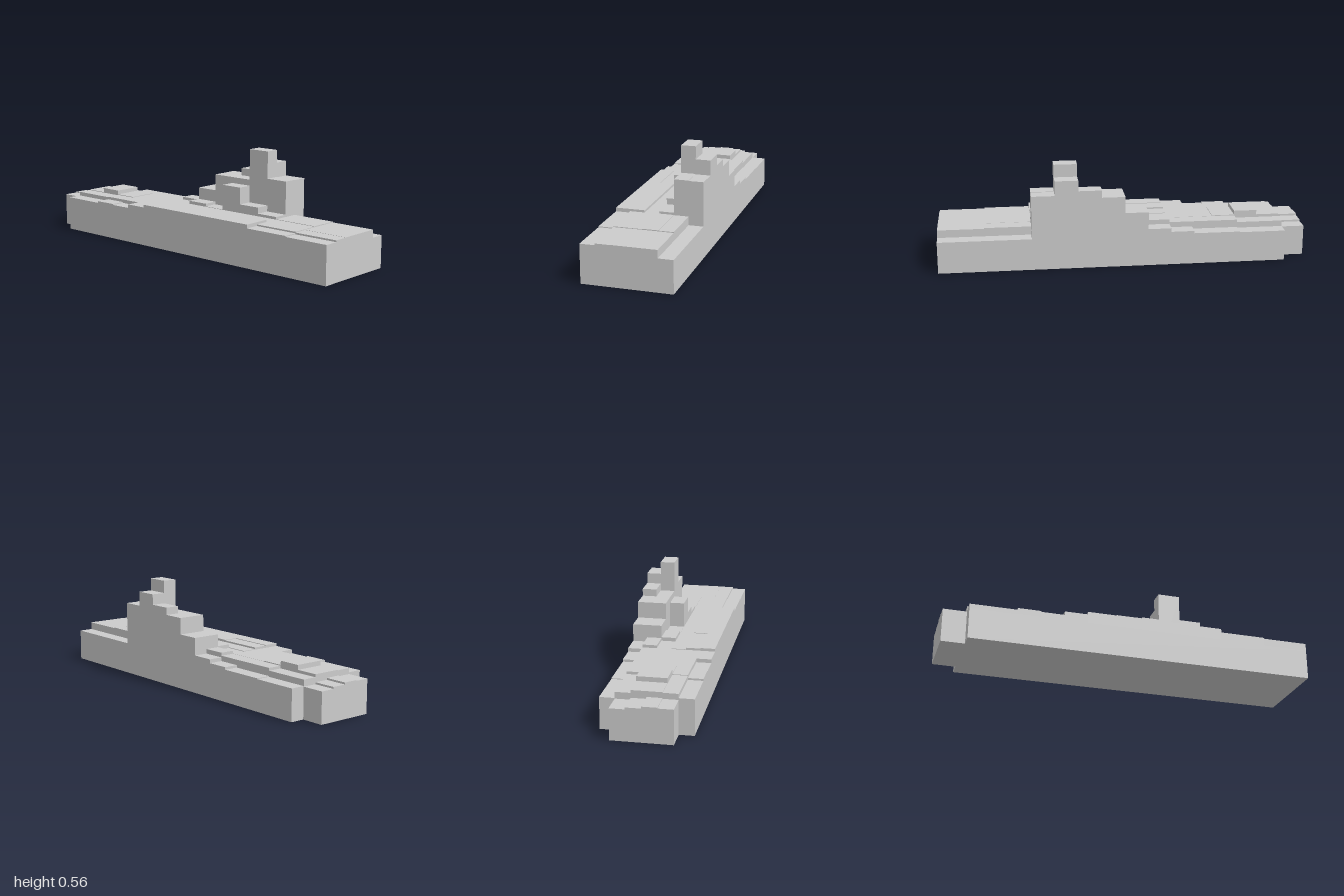
import * as THREE from 'three';

const COL = 0.125;      // cell length along x (16 columns)
const ROW = 0.0787;     // cell depth along z (6 rows, back to front)
const BASE = 0.165;     // top of the solid hull

export function createModel() {
  const model = new THREE.Group();
  const material = new THREE.MeshStandardMaterial({ color: 0xcccccc, flatShading: true });

  // Box covering columns c0..c1 and rows r0..r1 (ends excluded), from y0 up to y1
  function block(parent, name, c0, c1, r0, r1, y0, y1) {
    const geometry = new THREE.BoxGeometry((c1 - c0) * COL, y1 - y0, (r1 - r0) * ROW);
    const mesh = new THREE.Mesh(geometry, material);
    mesh.position.set(-1 + (c0 + c1) / 2 * COL, (y0 + y1) / 2, (-3 + (r0 + r1) / 2) * ROW);
    mesh.name = name;
    parent.add(mesh);
  }

  // Runs of [first column, end column, top height] along rows r0..r1
  function strip(name, r0, r1, runs) {
    const group = new THREE.Group();
    group.name = name;
    runs.forEach(([c0, c1, top], i) => block(group, `${name}Step${i + 1}`, c0, c1, r0, r1, BASE, top));
    model.add(group);
  }

  // Solid hull and its narrower end
  block(model, 'hull', 1, 16, 0, 6, 0, BASE);
  block(model, 'hullEnd', 0, 1, 1, 5, 0, BASE);

  // Steps on top of the narrow end
  strip('endDeckMiddle', 2, 3, [[0, 1, 0.175]]);
  strip('endDeckFront', 3, 4, [[0, 1, 0.185]]);
  strip('endDeckEdge', 4, 5, [[0, 1, 0.181]]);

  // Low ledge along the back edge
  strip('backLedge', 0, 1, [[1, 3, 0.168], [3, 5, 0.172], [5, 6, 0.185], [6, 7, 0.205], [12, 16, 0.173]]);

  // Main deck, row by row
  strip('deckBack', 1, 2, [[1, 3, 0.2], [3, 6, 0.214], [6, 7, 0.23], [12, 14, 0.219], [14, 16, 0.215]]);
  strip('deckMiddleBack', 2, 3, [[1, 3, 0.215], [3, 4, 0.218], [4, 7, 0.215], [7, 8, 0.235],
    [8, 9, 0.22], [12, 14, 0.22], [14, 16, 0.215]]);
  strip('deckMiddleFront', 3, 4, [[1, 3, 0.215], [3, 4, 0.218], [4, 6, 0.215], [6, 14, 0.218], [14, 16, 0.215]]);
  strip('deckFront', 4, 5, [[1, 3, 0.212], [3, 6, 0.215], [6, 8, 0.227], [8, 12, 0.23], [12, 14, 0.218], [14, 16, 0.214]]);
  strip('frontLedge', 5, 6, [[1, 3, 0.19], [3, 4, 0.2], [4, 5, 0.195], [5, 6, 0.215], [6, 12, 0.23],
    [12, 14, 0.21], [14, 16, 0.205]]);

  // Raised block near the narrow end
  block(model, 'deckBlock', 2, 3, 2, 4, 0.215, 0.24);

  // Stepped tower along the back
  strip('towerBack', 0, 1, [[7, 8, 0.3], [8, 9, 0.39], [9, 10, 0.43], [10, 11, 0.488], [11, 12, 0.408]]);
  strip('towerFront', 1, 2, [[7, 8, 0.3], [8, 9, 0.39], [9, 10, 0.39], [10, 11, 0.557], [11, 12, 0.41]]);

  // Lower steps in front of the tower
  strip('towerSteps', 2, 3, [[9, 10, 0.357], [10, 11, 0.265], [11, 12, 0.232]]);

  return model;
}
